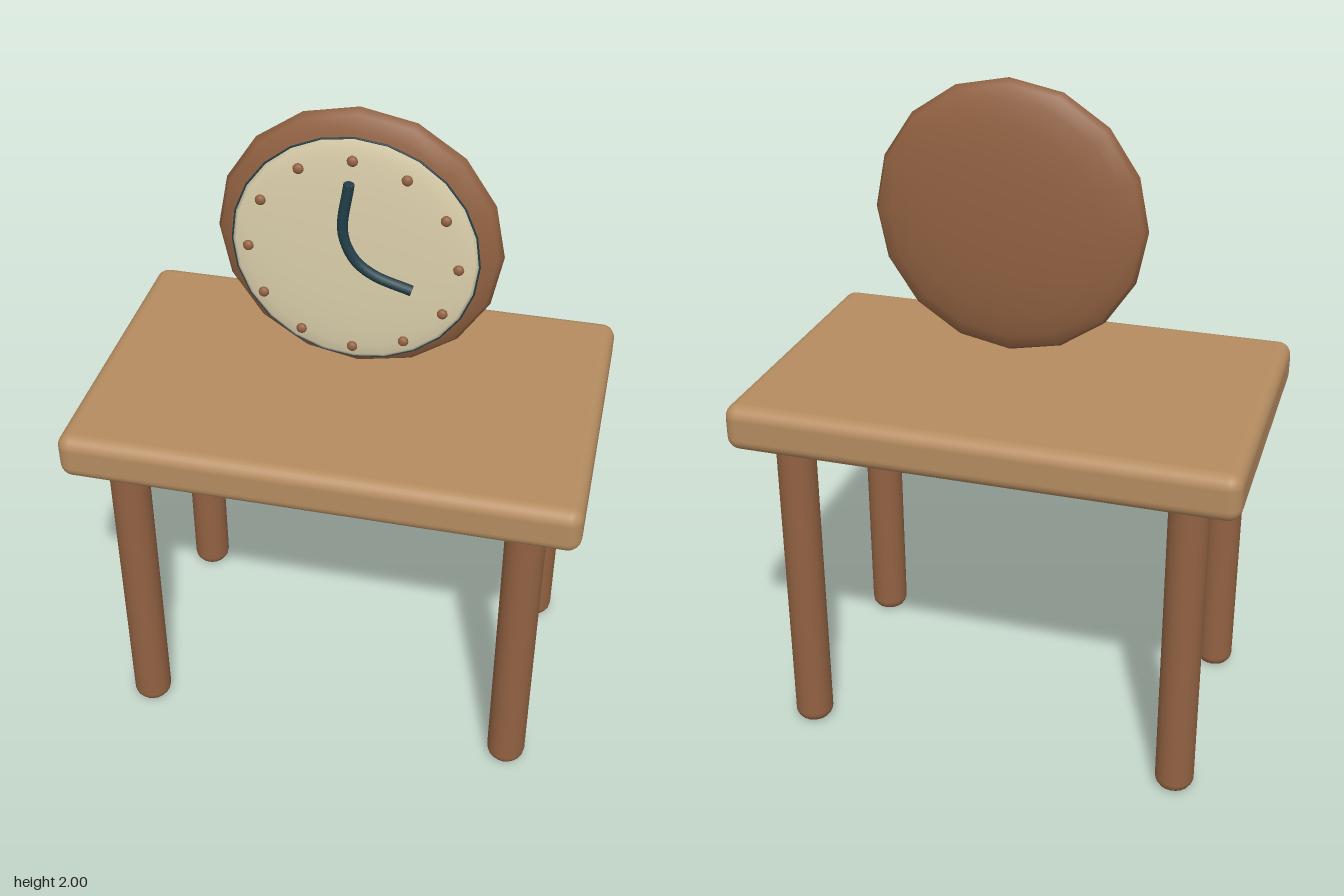
import * as THREE from 'three';
import { RoundedBoxGeometry } from 'three/addons/geometries/RoundedBoxGeometry.js';

const material = (name, color) => {
  const m = new THREE.MeshStandardMaterial({ color });
  m.name = name;
  return m;
};

export function createModel() {
  const lightWood = material('light wood', 0xb58c60);
  const darkWood = material('dark wood', 0x926242);
  const cream = material('cream', 0xdcd0ac);
  const ink = material('dark teal', 0x223f49);

  const model = new THREE.Group();
  model.name = 'tableWithClock';
  const add = (parent, name, geometry, mat, x = 0, y = 0, z = 0) => {
    const mesh = new THREE.Mesh(geometry, mat);
    mesh.name = name;
    mesh.position.set(x, y, z);
    parent.add(mesh);
    return mesh;
  };

  // Table top
  add(model, 'tableTop', new RoundedBoxGeometry(1.474, 0.14, 0.94, 4, 0.04), lightWood, 0, 1.06, 0);

  // Legs: posts with softly rounded ends
  const radius = 0.058, round = 0.035, height = 1;
  const profile = [new THREE.Vector2(0, 0)];
  for (const top of [false, true]) {
    for (let i = 0; i <= 4; i++) {
      const a = ((top ? i : i - 4) / 4) * Math.PI / 2;
      const cy = top ? height - round : round;
      profile.push(new THREE.Vector2(radius - round + round * Math.cos(a), cy + round * Math.sin(a)));
    }
  }
  profile.push(new THREE.Vector2(0, height));
  const legGeometry = new THREE.LatheGeometry(profile, 20);
  for (const x of [-0.58, 0.58]) {
    for (const z of [-0.33, 0.33]) {
      add(model, (z > 0 ? 'front' : 'back') + (x > 0 ? 'Left' : 'Right') + 'Leg', legGeometry, darkWood, x, 0, z);
    }
  }

  // Clock floating just above the table
  const clock = new THREE.Group();
  clock.name = 'clock';
  clock.position.set(0.03, 1.6, 0);
  model.add(clock);

  // Flattened ball with its poles on the z axis
  const lens = (r, depth, sides, rings) =>
    new THREE.SphereGeometry(1, sides, rings).rotateX(Math.PI / 2).scale(r, r, depth);
  add(clock, 'clockCase', lens(0.4, 0.072, 16, 12), darkWood);
  add(clock, 'clockFace', lens(0.343, 0.024, 24, 12), cream, 0, 0, 0.064);
  add(clock, 'faceRim', new THREE.TorusGeometry(0.342, 0.003, 6, 24), ink, 0, 0, 0.064);

  // Twelve hour studs
  const studGeometry = new THREE.SphereGeometry(0.015, 12, 8).scale(1, 1, 0.75);
  for (let i = 0; i < 12; i++) {
    const a = (i / 12) * Math.PI * 2;
    add(clock, 'hourStud', studGeometry, darkWood, 0.29 * Math.sin(a), 0.29 * Math.cos(a), 0.092);
  }

  // Both hands as one bent rod with closed ends
  const path = new THREE.CatmullRomCurve3([
    [-0.005, 0.232], [-0.022, 0.085], [0.01, 0.005], [0.063, -0.037], [0.168, -0.072],
  ].map(([x, y]) => new THREE.Vector3(x, y, 0.108)));
  const hands = new THREE.Group();
  hands.name = 'clockHands';
  clock.add(hands);
  add(hands, 'handRod', new THREE.TubeGeometry(path, 24, 0.015, 8), ink);
  for (const t of [0, 1]) {
    const p = path.getPoint(t);
    const outward = path.getTangent(t).multiplyScalar(t ? 1 : -1);
    const cap = add(hands, 'handEnd', new THREE.CircleGeometry(0.015, 8), ink, p.x, p.y, p.z);
    cap.quaternion.setFromUnitVectors(new THREE.Vector3(0, 0, 1), outward);
  }

  return model;
}
